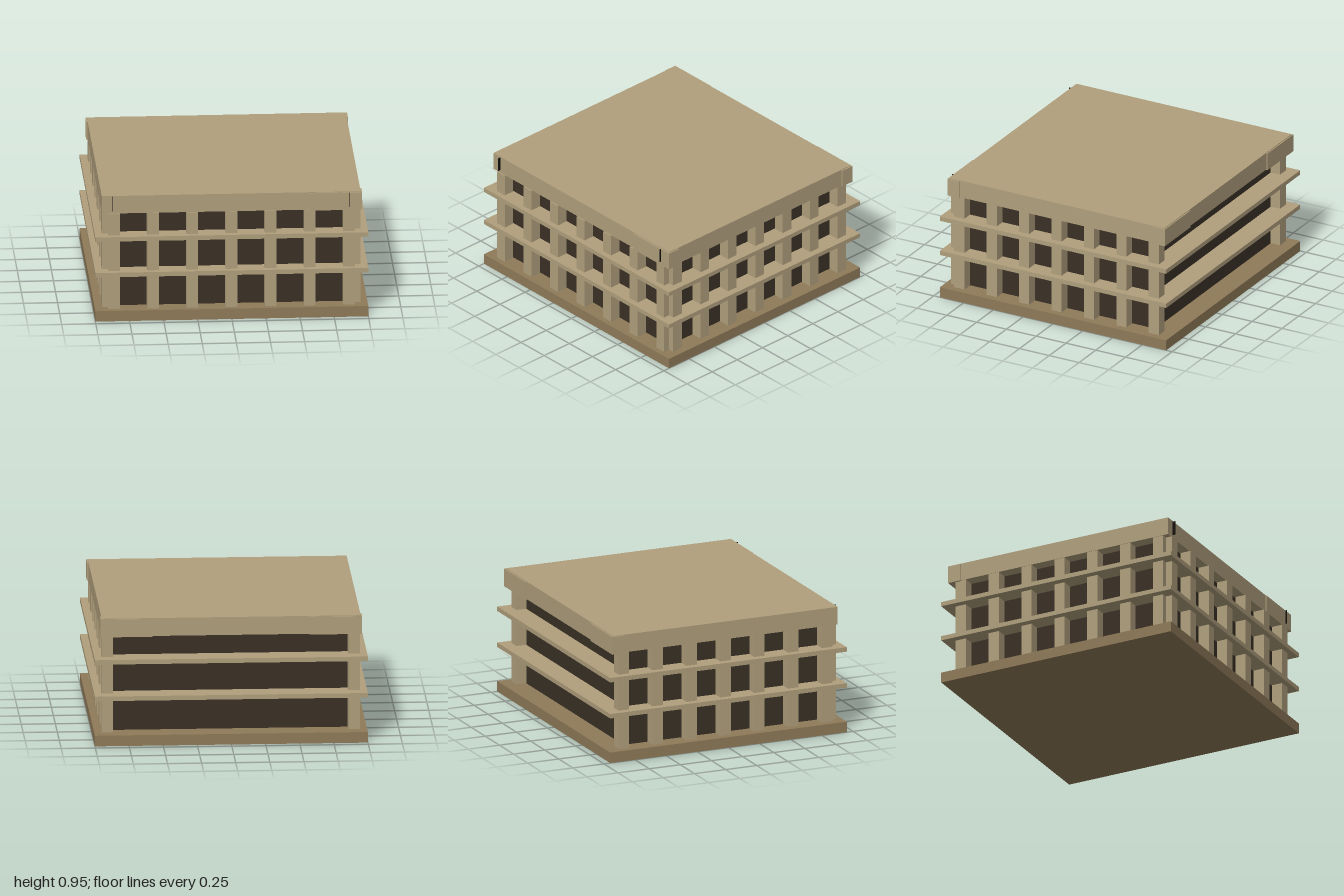
import * as THREE from 'three';

export function createModel() {
  const model = new THREE.Group();
  model.name = 'colonnadedBuilding';

  const stone = new THREE.MeshStandardMaterial({ name: 'sandstone', color: 0xb09f7c });
  const plinth = new THREE.MeshStandardMaterial({ name: 'brownStone', color: 0x8f7a59 });
  const glass = new THREE.MeshStandardMaterial({ name: 'darkGlass', color: 0x3a3126 });
  const black = new THREE.MeshStandardMaterial({ name: 'black', color: 0x14110e });

  // Box given by its minimum and maximum on each axis
  function block(name, material, [x0, x1], [y0, y1], [z0, z1], parent = model) {
    const mesh = new THREE.Mesh(new THREE.BoxGeometry(x1 - x0, y1 - y0, z1 - z0), material);
    mesh.position.set((x0 + x1) / 2, (y0 + y1) / 2, (z0 + z1) / 2);
    mesh.name = name;
    parent.add(mesh);
    return mesh;
  }

  // Base, recessed dark core and floor slabs
  block('base', plinth, [-1, 1], [0, 0.08], [-0.95, 0.95]);
  block('glazedCore', glass, [-0.86, 0.86], [0.08, 0.815], [-0.78, 0.82]);
  for (const y of [0.34, 0.615]) {
    block('floorSlab', stone, [-1, 1], [y, y + 0.034], [-0.95, 0.95]);
  }

  // Colonnades on the front and both sides; the back stays open
  const columns = new THREE.Group();
  columns.name = 'columns';
  model.add(columns);
  const half = 0.0425;
  const storeys = [[0.08, 0.34], [0.649, 0.815], [0.374, 0.615]];
  for (const storey of storeys) {
    for (let i = -3; i <= 3; i++) {
      const x = i * 0.287;
      block('frontColumn', stone, [x - half, x + half], storey, [0.825, 0.909], columns);
      const z = i * 0.272;
      for (const side of [-1, 1]) {
        const cx = side * 0.9045;
        block('sideColumn', stone, [cx - half, cx + half], storey, [z - half, z + half], columns);
      }
    }
  }

  // Deep flat roof with slightly proud corner panels
  block('roof', stone, [-0.95, 0.947], [0.815, 0.95], [-0.905, 0.9]);
  const panelY = [0.811, 0.945];
  block('frontCornerPanel', stone, [0.575, 0.957], panelY, [0.81, 0.91]);
  block('backCornerPanel', stone, [0.575, 0.957], panelY, [-0.914, -0.815]);
  block('backCornerPanel', stone, [-0.96, -0.575], panelY, [-0.914, -0.815]);

  // Thin dark fins standing out from the front fascia
  for (const x of [-0.875, 0.867]) {
    block('fasciaFin', black, [x - 0.002, x + 0.002], [0.838, 0.945], [0.89, 0.921]);
  }

  return model;
}
